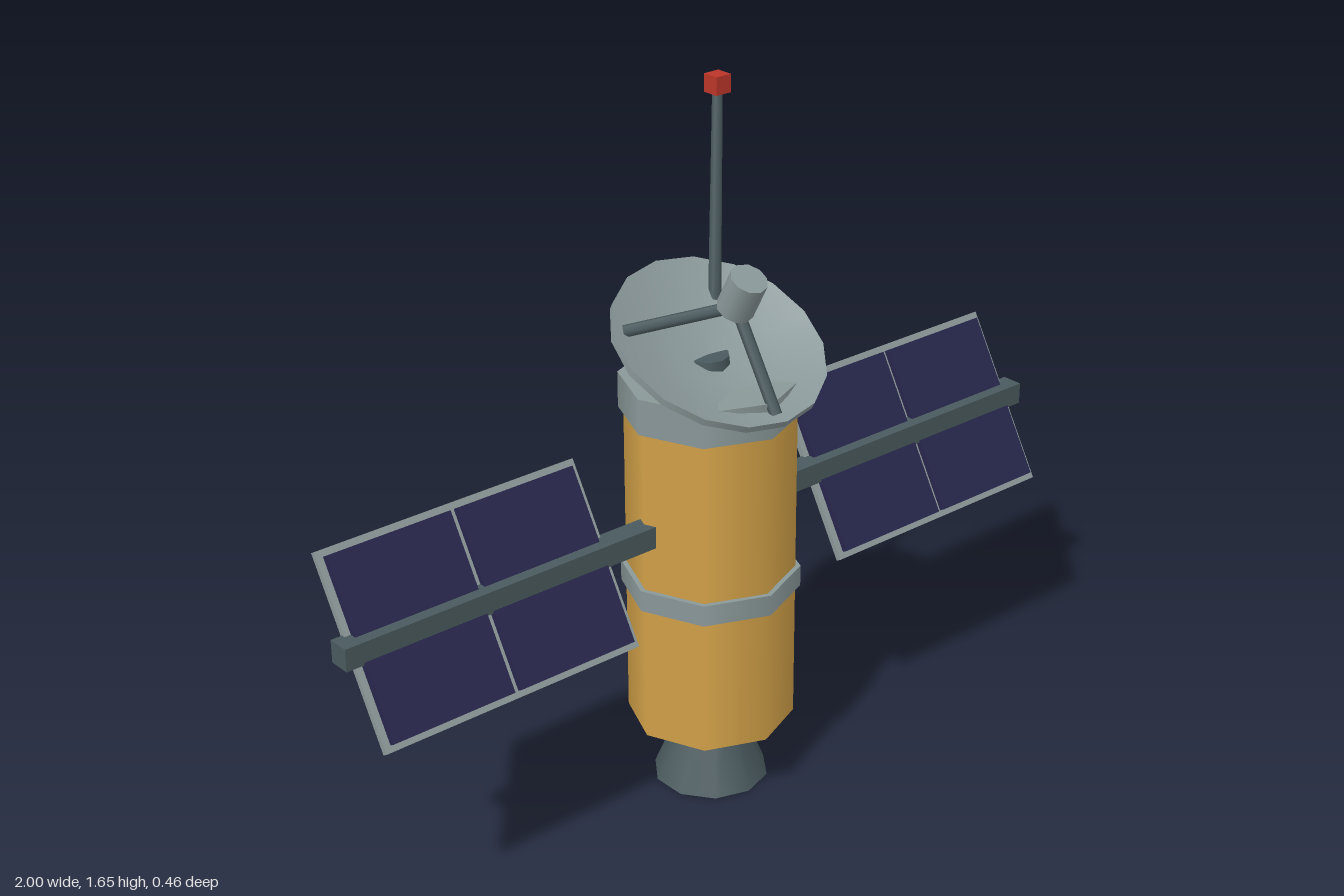
import * as THREE from 'three';

const paint = (name, color) => {
  const m = new THREE.MeshStandardMaterial({ color });
  m.name = name;
  return m;
};

export function createModel() {
  const gold = paint('gold foil', 0xd2a148);
  const grey = paint('light grey metal', 0x8a9899);
  const frameGrey = paint('panel frame grey', 0x8c9797);
  const dark = paint('dark metal', 0x4a5a5e);
  const blue = paint('solar cell blue', 0x27264c);
  const red = paint('beacon red', 0xbc3529);

  const model = new THREE.Group();
  model.name = 'satellite';
  const add = (parent, name, geometry, material, x = 0, y = 0, z = 0) => {
    const mesh = new THREE.Mesh(geometry, material);
    mesh.name = name;
    mesh.position.set(x, y, z);
    parent.add(mesh);
    return mesh;
  };
  // upright cylinder between two heights
  const drum = (parent, name, rTop, rBottom, y0, y1, sides, material, z = 0) =>
    add(parent, name, new THREE.CylinderGeometry(rTop, rBottom, y1 - y0, sides), material, 0, (y0 + y1) / 2, z);
  // thin rod between two points
  const rod = (parent, name, a, b, rTop, rBottom, material) => {
    const dir = b.clone().sub(a);
    const mesh = add(parent, name, new THREE.CylinderGeometry(rTop, rBottom, dir.length(), 6), material);
    mesh.position.copy(a).addScaledVector(dir, 0.5);
    mesh.quaternion.setFromUnitVectors(new THREE.Vector3(0, 1, 0), dir.normalize());
    return mesh;
  };

  // body, bands and engine
  const axisZ = -0.025;
  drum(model, 'body', 0.195, 0.195, 0.17, 0.96, 8, gold, axisZ);
  drum(model, 'middleBand', 0.207, 0.207, 0.505, 0.556, 8, grey, axisZ);
  drum(model, 'topCollar', 0.207, 0.207, 0.945, 1.03, 8, grey, axisZ);
  drum(model, 'engineNozzle', 0.067, 0.137, 0, 0.172, 10, dark, axisZ);
  drum(model, 'dishPedestal', 0.05, 0.055, 1.02, 1.075, 10, dark, -0.035);

  // dish assembly, tilted forward
  const dish = new THREE.Group();
  dish.name = 'dishAssembly';
  dish.position.set(0, 1.124, 0.009);
  dish.rotation.x = 0.5;
  model.add(dish);
  const shell = (name, points) =>
    add(dish, name, new THREE.LatheGeometry(points.map(([r, y]) => new THREE.Vector2(r, y)), 16), grey);
  shell('dishBack', [[0, -0.08], [0.08, -0.073], [0.165, -0.051], [0.25, -0.018]]);
  shell('dishRim', [[0.25, -0.018], [0.25, 0]]);
  shell('dishBowl', [[0.25, 0], [0.165, -0.035], [0.08, -0.057], [0, -0.064]]);
  drum(dish, 'feedHorn', 0.043, 0.043, 0.1, 0.195, 10, grey);
  for (let i = 0; i < 3; i++) {
    const a = (i * Math.PI * 2) / 3;
    const foot = new THREE.Vector3(Math.sin(a) * 0.217, -0.015, Math.cos(a) * 0.217);
    rod(dish, 'feedStrut', foot, new THREE.Vector3(0, 0.108, 0), 0.014, 0.014, dark);
  }

  // antenna mast with beacon
  rod(model, 'antennaMast', new THREE.Vector3(0.083, 1.0, -0.109),
    new THREE.Vector3(0.165, 1.61, -0.191), 0.012, 0.016, dark);
  add(model, 'beacon', new THREE.BoxGeometry(0.042, 0.042, 0.042), red, 0.165, 1.625, -0.191);

  // solar wings on both sides
  for (const side of [-1, 1]) {
    const wing = new THREE.Group();
    wing.name = side > 0 ? 'leftWing' : 'rightWing';
    wing.position.set(0, 0.695, -0.024);
    model.add(wing);
    add(wing, 'wingBeam', new THREE.BoxGeometry(0.818, 0.053, 0.053), dark, side * 0.591);

    const panel = new THREE.Group();
    panel.name = 'solarPanel';
    panel.position.set(side * 0.639, -0.005, 0);
    panel.rotation.x = -0.53;
    wing.add(panel);
    add(panel, 'panelFrame', new THREE.BoxGeometry(0.667, 0.44, 0.014), frameGrey, 0, 0, -0.006);
    for (const half of [-1, 1]) {
      add(panel, 'solarCells', new THREE.BoxGeometry(0.31, 0.41, 0.014), blue, half * 0.163, 0, 0.008);
    }
  }
  return model;
}
